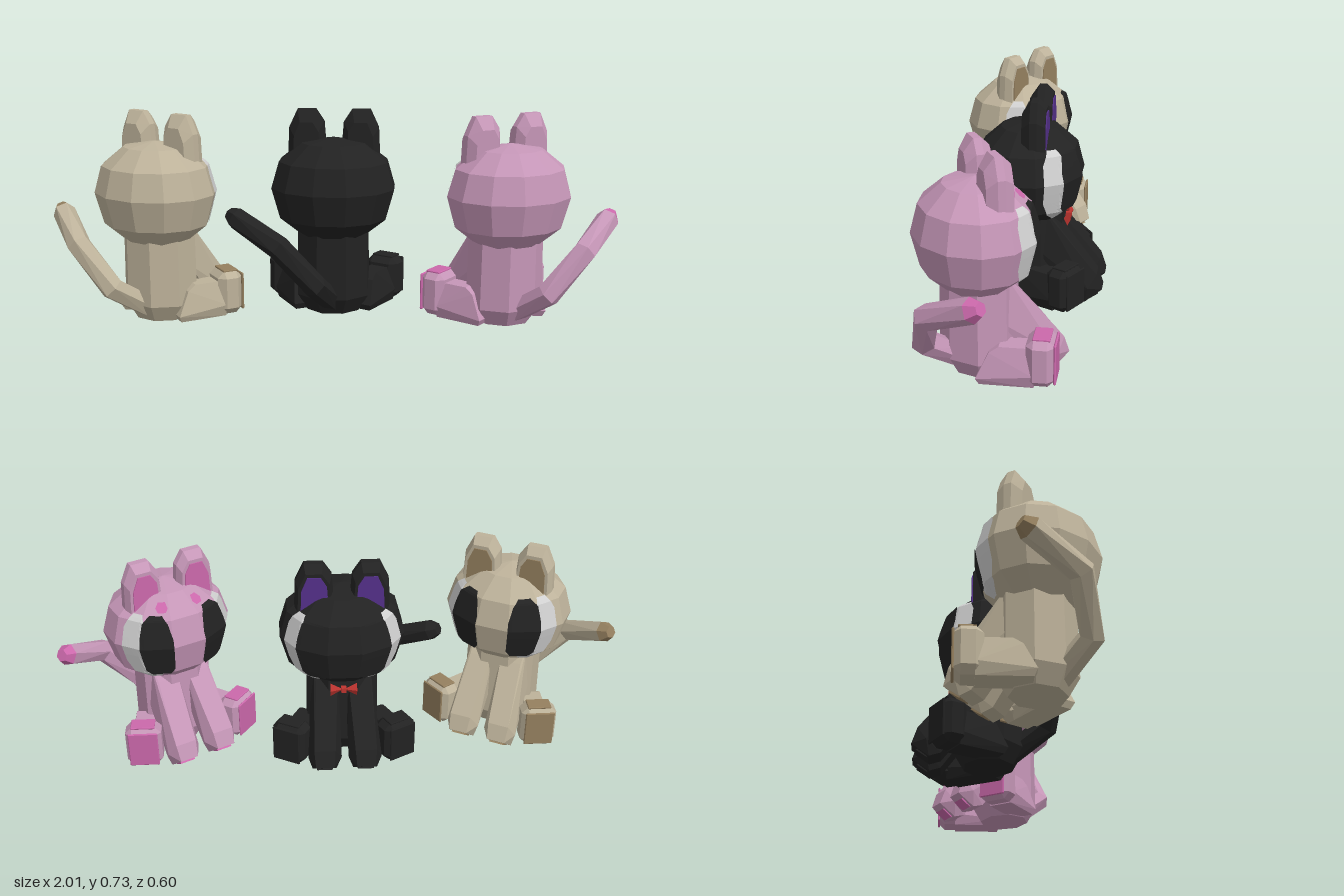
import * as THREE from 'three';
import { ConvexGeometry } from 'three/addons/geometries/ConvexGeometry.js';

const mat = (name, color) => new THREE.MeshStandardMaterial({ name, color });
const V = (x, y, z) => new THREE.Vector3(x, y, z);
const rad = THREE.MathUtils.degToRad;

// Flat facets from any geometry
function facet(geo) {
  const g = geo.index ? geo.toNonIndexed() : geo;
  g.computeVertexNormals();
  return g;
}
function mesh(name, geo, material) {
  const m = new THREE.Mesh(facet(geo), material);
  m.name = name;
  return m;
}
// Convex block through a list of [x, y, z], mirrored by s
const hull = (pts, s = 1) => new ConvexGeometry(pts.map(([x, y, z]) => V(x * s, y, z)));

// Box with all edges chamfered by c
function chamferBox(x0, x1, y0, y1, z0, z1, c) {
  const pts = [];
  for (const [a, b, d] of [[c, c, 0], [c, 0, c], [0, c, c]])
    for (const x of [x0 + a, x1 - a])
      for (const y of [y0 + b, y1 - b])
        for (const z of [z0 + d, z1 - d]) pts.push([x, y, z]);
  return hull(pts);
}

// Turned shape, squashed in depth
function turned(profile, sides, depth, z) {
  const g = new THREE.LatheGeometry(profile.map(([r, y]) => new THREE.Vector2(r, y)), sides, Math.PI / sides);
  return g.scale(1, 1, depth).translate(0, 0, z);
}

// Thin face marking wrapped over the head; rows are [elevation, azimuth from, azimuth to]
const HEAD = V(0, 0.465, -0.025);
function marking(head, rows, s, lift) {
  const ray = new THREE.Raycaster(), n = 8, sub = 4, pos = [], grid = [];
  for (let r = 0; r <= (rows.length - 1) * sub; r++) {
    const i = Math.min(Math.floor(r / sub), rows.length - 2), t = r / sub - i;
    const [el, a, b] = rows[i].map((v, k) => rad(THREE.MathUtils.lerp(v, rows[i + 1][k], t)));
    grid.push(Array.from({ length: n + 1 }, (_, j) => {
      const az = a + (b - a) * j / n;
      const d = V(s * Math.sin(az) * Math.cos(el), Math.sin(el), -Math.cos(az) * Math.cos(el));
      ray.set(HEAD.clone().add(d), d.clone().negate());
      return ray.intersectObject(head)[0].point.addScaledVector(d, lift);
    }));
  }
  for (let r = 0; r < grid.length - 1; r++)
    for (let j = 0; j < n; j++) {
      const [a, b, c, d] = [grid[r][j], grid[r][j + 1], grid[r + 1][j + 1], grid[r + 1][j]];
      const tris = s > 0 ? [a, c, b, a, d, c] : [a, b, c, a, c, d];
      tris.forEach(p => pos.push(p.x, p.y, p.z));
    }
  const g = new THREE.BufferGeometry();
  g.setAttribute('position', new THREE.Float32BufferAttribute(pos, 3));
  return g;
}

// Six-sided jointed tail
function addTail(cat, s, fur, tip) {
  const pts = [[0, 0.045, 0.025], [0.05, 0.14, 0.16], [0.175, 0.285, 0.185], [0.335, 0.365, 0.095], [0.362, 0.378, 0.078]]
    .map(p => V(p[0] * s, p[1], p[2]));
  const radii = [0.04, 0.042, 0.042, 0.04, 0.022];
  const rings = pts.map((p, i) => {
    const dir = pts[Math.min(i + 1, 4)].clone().sub(pts[Math.max(i - 1, 0)]).normalize();
    const q = new THREE.Quaternion().setFromUnitVectors(V(0, 0, 1), dir);
    return Array.from({ length: 6 }, (_, k) =>
      V(Math.cos(k * Math.PI / 3), Math.sin(k * Math.PI / 3), 0).multiplyScalar(radii[i]).applyQuaternion(q).add(p));
  });
  for (let i = 0; i < 4; i++)
    cat.add(mesh(i < 3 ? 'tailSegment' : 'tailTip', new ConvexGeometry([...rings[i], ...rings[i + 1]]), i < 3 ? fur : tip));
}

// Hind leg with upright foot, splayed outward
function makeHindLeg(s, fur, pad) {
  const leg = new THREE.Group();
  leg.name = 'hindLeg';
  leg.add(mesh('hindThigh', hull([-1, 1].flatMap(k => [
    [k * 0.045, 0.008, 0.02], [k * 0.058, 0.05, 0.02], [k * 0.035, 0.135, 0.02],
    [k * 0.045, 0.008, 0.19], [k * 0.055, 0.03, 0.2], [k * 0.035, 0.135, 0.13], [k * 0.04, 0.115, 0.16]])), fur));
  leg.add(mesh('hindFoot', chamferBox(-0.063, 0.063, 0.012, 0.17, -0.046, 0.046, 0.024), fur));
  leg.add(mesh('hindFootPad', chamferBox(-0.052, 0.052, 0.024, 0.158, -0.049, -0.041, 0.003), pad));
  leg.add(mesh('hindFootTop', chamferBox(-0.042, 0.042, 0.165, 0.173, -0.03, 0.025, 0.002), pad));
  leg.position.set(s * 0.185, 0, -0.175);
  leg.rotation.y = -s * 0.5;
  return leg;
}

function makeCat(name, fur, ear, pad, eye, white, tailSide) {
  const cat = new THREE.Group();
  cat.name = name;

  // Head and body
  const head = mesh('head', turned([[0, 0.285], [0.12, 0.29], [0.195, 0.35], [0.226, 0.46],
    [0.198, 0.555], [0.115, 0.62], [0, 0.64]], 12, 0.87, HEAD.z), fur);
  cat.add(head);
  cat.add(mesh('body', turned([[0, 0.005], [0.1, 0.005], [0.138, 0.065], [0.134, 0.36], [0, 0.36]], 8, 0.9, -0.035), fur));

  for (const s of [-1, 1]) {
    // Ear with inner plate
    const outline = [[0.165, 0.56], [0.16, 0.67], [0.13, 0.735], [0.065, 0.735], [0.035, 0.69], [0.025, 0.56]];
    const layer = (k, z, h) => outline.map(([x, y]) => [0.095 + (x - 0.095) * k, 0.56 + (y - 0.56) * h, z]);
    cat.add(mesh('ear', hull([...layer(0.85, -0.098, 0.85), ...layer(1, -0.07, 1), ...layer(1, -0.045, 1), ...layer(0.7, -0.015, 0.75)], s), fur));
    cat.add(mesh('innerEar', hull([...layer(0.7, -0.102, 0.78), ...layer(0.7, -0.097, 0.78)], s), ear));

    // Eye patches
    cat.add(mesh('eyeWhite', marking(head, [[-46, 36, 50], [-36, 30, 62], [-20, 34, 69], [18, 44, 69], [33, 50, 62]], s, 0.003), white));
    cat.add(mesh('eye', marking(head, [[-34, 22, 42], [-28, 17, 48], [8, 17, 50], [24, 21, 48], [33, 27, 42]], s, 0.006), eye));

    // Sloping front leg
    cat.add(mesh('frontLeg', hull([
      [0.015, 0.34, -0.09], [0.1, 0.34, -0.09], [0.02, 0.29, -0.135], [0.095, 0.29, -0.135],
      [0.015, 0.2, -0.06], [0.115, 0.2, -0.06],
      [0.035, 0.107, -0.28], [0.11, 0.107, -0.28], [0.04, 0.05, -0.3], [0.105, 0.05, -0.3],
      [0.012, 0.06, -0.25], [0.13, 0.06, -0.25],
      [0.03, 0.003, -0.24], [0.115, 0.003, -0.24], [0.03, 0.015, -0.2], [0.115, 0.015, -0.2]], s), fur));
    cat.add(mesh('frontPawPad', hull([
      [0.045, 0.03, -0.285], [0.1, 0.03, -0.285], [0.045, 0.004, -0.247], [0.1, 0.004, -0.247],
      [0.045, 0.034, -0.279], [0.1, 0.034, -0.279], [0.045, 0.009, -0.243], [0.1, 0.009, -0.243]], s), pad));

    cat.add(makeHindLeg(s, fur, pad));
  }
  addTail(cat, tailSide, fur, pad);
  return cat;
}

export function createModel() {
  const beige = mat('beige fur', 0xbdb29a), brown = mat('brown', 0x95805f);
  const pink = mat('pink fur', 0xc596b7), hotPink = mat('hot pink', 0xcb68ab);
  const black = mat('black', 0x222222), purple = mat('purple', 0x54308a);
  const white = mat('white', 0xd0d0d0), red = mat('red', 0xc03530);
  const model = new THREE.Group();
  model.name = 'threeCats';

  const left = makeCat('beigeCat', beige, brown, brown, black, white, -1);
  left.position.set(-0.63, 0, 0.12);
  left.rotation.y = -0.5;

  const middle = makeCat('blackCat', black, purple, black, black, white, -1);

  const right = makeCat('pinkCat', pink, hotPink, hotPink, black, white, 1);
  right.position.set(0.63, 0, 0.08);
  right.rotation.y = 0.5;

  // Brow spots on the pink cat
  const rightHead = right.getObjectByName('head');
  const plainHead = new THREE.Mesh(rightHead.geometry, pink);
  for (const s of [-1, 1])
    right.add(mesh('browSpot', marking(plainHead, [[36, 22, 32], [41, 19, 36], [48, 22, 33]], s, 0.004), hotPink));

  // Bow tie on the black cat
  const bow = new THREE.Group();
  bow.name = 'bowTie';
  for (const s of [-1, 1]) {
    const wing = mesh('bowWing', new THREE.ConeGeometry(0.026, 0.045, 4), red);
    wing.rotation.z = s * Math.PI / 2;
    wing.position.x = s * 0.024;
    wing.scale.z = 0.5;
    bow.add(wing);
  }
  bow.add(mesh('bowKnot', new THREE.BoxGeometry(0.018, 0.018, 0.02), red));
  bow.position.set(0, 0.29, -0.167);
  middle.add(bow);

  model.add(left, middle, right);
  return model;
}
